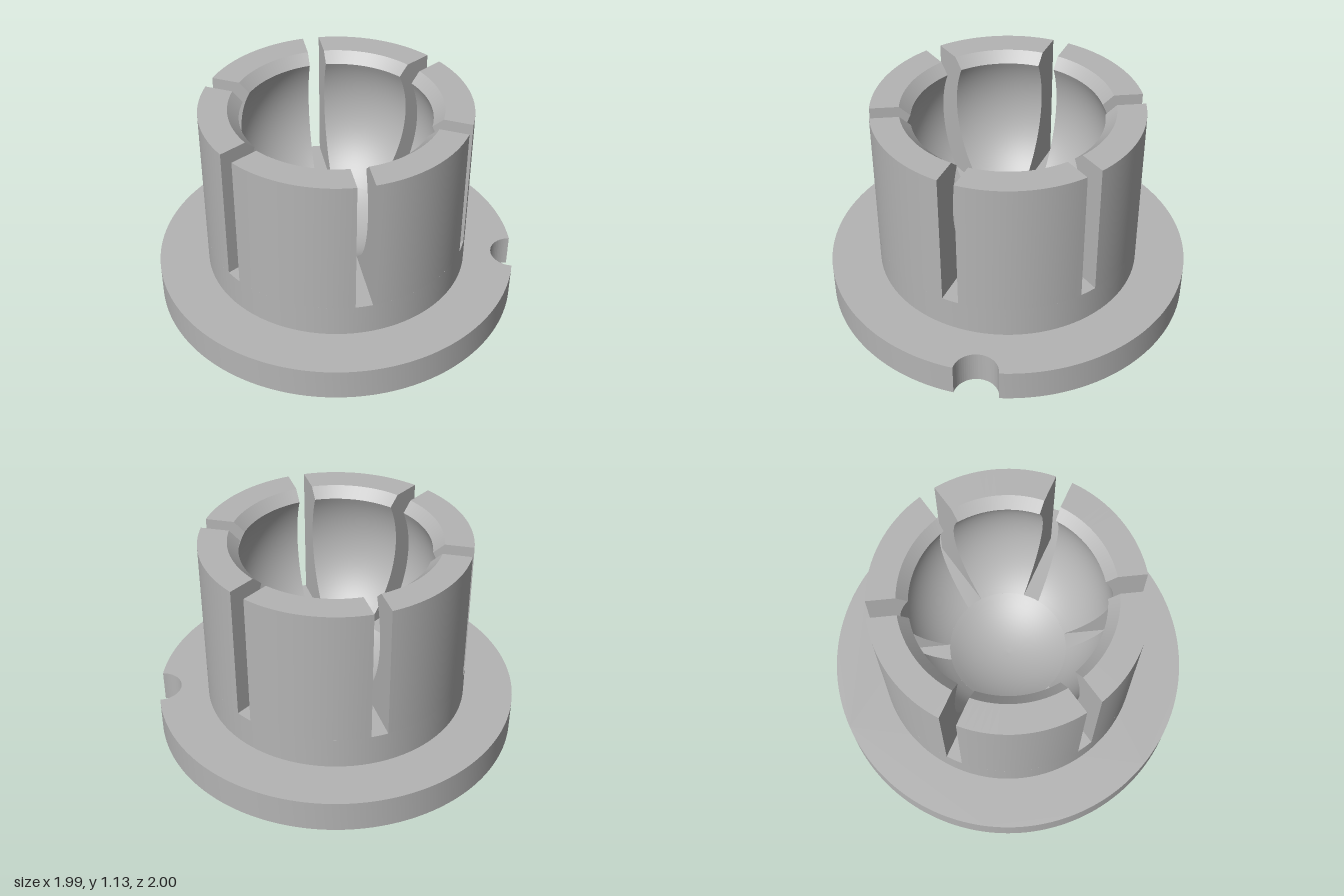
import * as THREE from 'three';
import { toCreasedNormals } from 'three/addons/utils/BufferGeometryUtils.js';

const BASE_TOP = 0.183, SLOT_FLOOR = 0.365, TOP = 1.135;
const BARREL_R = 0.725, LIP_R = 0.57, LIP_Y = 1.08;
const BALL_R = 0.57, BALL_Y = 0.83;
const HALF_SLOT = 0.046, SLOTS = 6, STEP = (Math.PI * 2) / SLOTS, FIRST = Math.PI / 12;

const V = (x, y) => new THREE.Vector2(x, y);
const ballRadius = (y) => Math.sqrt(BALL_R ** 2 - (y - BALL_Y) ** 2);

// Points on the spherical socket between two polar angles (0 is the bottom pole)
function socketCurve(from, to, n) {
  return Array.from({ length: n + 1 }, (_, i) => {
    const t = from + ((to - from) * i) / n;
    return V(BALL_R * Math.sin(t), BALL_Y - BALL_R * Math.cos(t));
  });
}

// Sweeps a profile around y, between limits that may depend on the radius
function sweep(profile, start, end, segments) {
  const pos = [], index = [], n = profile.length;
  for (let i = 0; i <= segments; i++) {
    for (const p of profile) {
      const a = THREE.MathUtils.lerp(start(p.x), end(p.x), i / segments);
      pos.push(p.x * Math.cos(a), p.y, p.x * Math.sin(a));
    }
  }
  for (let i = 0; i < segments; i++) {
    for (let j = 0; j < n - 1; j++) {
      const a = i * n + j, b = a + 1, c = a + n, d = c + 1;
      index.push(a, b, c, b, d, c);
    }
  }
  const geo = new THREE.BufferGeometry();
  geo.setAttribute('position', new THREE.Float32BufferAttribute(pos, 3));
  geo.setIndex(index);
  geo.computeVertexNormals();
  return geo;
}

export function createModel() {
  const model = new THREE.Group();
  model.name = 'ballSocket';
  const grey = new THREE.MeshStandardMaterial({ color: 0xb4b4b4, side: THREE.DoubleSide });
  grey.name = 'grey plastic';
  const add = (parent, name, geo) => {
    const mesh = new THREE.Mesh(geo, grey);
    mesh.name = name;
    parent.add(mesh);
    return mesh;
  };

  // Flange with a round notch in its rim
  const notch = 0.12, half = 2 * Math.asin(notch / 2);
  const disc = new THREE.Shape();
  disc.absarc(0, 0, 1, half, Math.PI * 2 - half, false);
  disc.absarc(1, 0, notch, -Math.PI / 2 - half / 2, Math.PI / 2 + half / 2, true);
  const flange = new THREE.ExtrudeGeometry(disc, { depth: BASE_TOP, bevelEnabled: false, curveSegments: 96 });
  flange.rotateX(-Math.PI / 2);
  add(model, 'flange', toCreasedNormals(flange, 0.5));

  // Solid lower barrel and the bottom of the bowl
  const floorAngle = Math.acos((BALL_Y - SLOT_FLOOR) / BALL_R);
  const lipAngle = Math.acos((BALL_Y - LIP_Y) / BALL_R);
  add(model, 'lowerBarrel', new THREE.LatheGeometry([V(BARREL_R, BASE_TOP), V(BARREL_R, SLOT_FLOOR)], 96));
  add(model, 'bowlBottom', new THREE.LatheGeometry(socketCurve(floorAngle, 0, 10), 96));

  // Faces of one finger, from outside over the lip and down the socket
  const socket = socketCurve(lipAngle, floorAngle, 24);
  const faces = {
    outerWall: [V(BARREL_R, SLOT_FLOOR), V(BARREL_R, TOP)],
    topFace: [V(BARREL_R, TOP), V(LIP_R, TOP)],
    lipChamfer: [V(LIP_R, TOP), V(ballRadius(LIP_Y), LIP_Y)],
    socketWall: socket,
  };
  const inset = (r) => Math.asin(HALF_SLOT / r);

  // Flat slot cheek, cut parallel to the slot's centre line
  const outline = [...faces.outerWall, V(LIP_R, TOP), ...socket]
    .map((p) => V(Math.sqrt(p.x ** 2 - HALF_SLOT ** 2), p.y));
  const cheek = new THREE.ShapeGeometry(new THREE.Shape(outline));

  for (let k = 0; k < SLOTS; k++) {
    const a = FIRST + k * STEP;
    const finger = new THREE.Group();
    finger.name = `finger${k + 1}`;
    model.add(finger);
    for (const [name, profile] of Object.entries(faces)) {
      add(finger, name, sweep(profile, (r) => a + inset(r), (r) => a + STEP - inset(r), 16));
    }
    // Cheek after this slot, turned to face into it
    const near = cheek.clone().rotateY(Math.PI).scale(-1, 1, 1);
    near.setIndex([...near.index.array].reverse());
    near.computeVertexNormals();
    near.translate(0, 0, HALF_SLOT).rotateY(-a);
    add(finger, 'startCheek', near);
    add(finger, 'endCheek', cheek.clone().translate(0, 0, -HALF_SLOT).rotateY(-a - STEP));
    // Floor of the slot
    const floor = [V(BARREL_R, SLOT_FLOOR), V(ballRadius(SLOT_FLOOR), SLOT_FLOOR)];
    add(model, `slotFloor${k + 1}`, sweep(floor, (r) => a - inset(r), (r) => a + inset(r), 4));
  }

  // The notch shortens one side, so centre the whole part
  model.position.x = 0.0036;
  return model;
}
